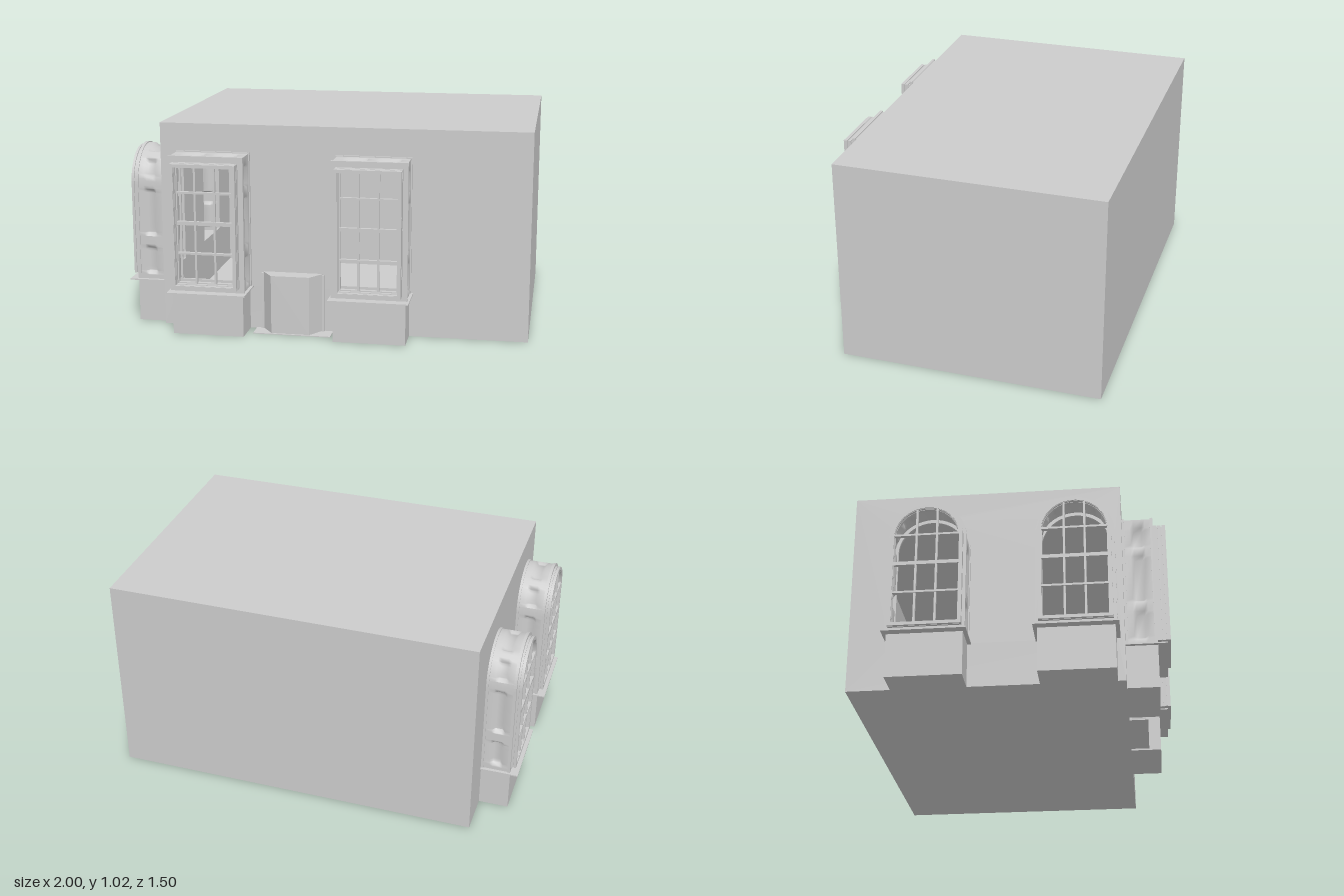
import * as THREE from 'three';

const mat = new THREE.MeshStandardMaterial({ color: 0xcccccc, side: THREE.DoubleSide });
const SILL = 0.22, SPRING = 0.705, HALF = 0.18;
const X0 = -0.815, X1 = 1, Z0 = -0.75, Z1 = 0.54, H = 1.025;

function add(parent, name, geo, x = 0, y = 0, z = 0) {
  const mesh = new THREE.Mesh(geo, mat);
  mesh.name = name;
  mesh.position.set(x, y, z);
  parent.add(mesh);
  return mesh;
}
function box(parent, name, x0, x1, y0, y1, z0, z1) {
  return add(parent, name, new THREE.BoxGeometry(x1 - x0, y1 - y0, z1 - z0),
    (x0 + x1) / 2, (y0 + y1) / 2, (z0 + z1) / 2);
}

// Window outline: rectangular, or with a semicircular head
function outline(path, half, bottom, top, arch, cx = 0) {
  path.moveTo(cx - half, bottom);
  path.lineTo(cx + half, bottom);
  if (arch) {
    path.lineTo(cx + half, SPRING);
    path.absarc(cx, SPRING, half, 0, Math.PI, false);
  } else {
    path.lineTo(cx + half, top);
    path.lineTo(cx - half, top);
  }
  path.closePath();
  return path;
}

// Frame ring of width w, from z0 to z1
function ring(parent, name, half, w, bottom, top, arch, z0, z1) {
  const s = outline(new THREE.Shape(), half, bottom, top, arch);
  s.holes.push(outline(new THREE.Path(), half - w, bottom + w, top - w, arch));
  add(parent, name, new THREE.ExtrudeGeometry(s,
    { depth: z1 - z0, bevelEnabled: false, curveSegments: 20 }), 0, 0, z0);
}

// Strip with sunken, sloped panels, bent along a path; at(s) gives [x, y, outward x, outward y]
function panelledStrip(parent, name, length, depth, pits, at, step = 1) {
  const slope = 0.016, sink = 0.02;
  const z0 = 0.04, z1 = depth - 0.04;
  const zs = [0, z0, z0 + slope, z1 - slope, z1, depth];
  const marks = [0, length];
  for (const [a, b] of pits) marks.push(a, a + slope, b - slope, b);
  for (let s = step; s < length; s += step) marks.push(s);
  const ss = [...new Set(marks)].sort((a, b) => a - b);
  const ramp = (v, a, b) => THREE.MathUtils.clamp(Math.min(v - a, b - v) / slope, 0, 1);
  const pos = [], index = [];
  ss.forEach((s, i) => {
    const [x, y, nx, ny] = at(s);
    zs.forEach((z, j) => {
      let d = 0;
      for (const [a, b] of pits) d = Math.max(d, Math.min(ramp(s, a, b), ramp(z, z0, z1)));
      pos.push(x - nx * d * sink, y - ny * d * sink, z);
      if (i && j) {
        const c = i * zs.length + j, p = c - zs.length;
        index.push(p - 1, p, c, p - 1, c, c - 1);
      }
    });
  });
  const geo = new THREE.BufferGeometry();
  geo.setAttribute('position', new THREE.Float32BufferAttribute(pos, 3));
  geo.setIndex(index);
  geo.computeVertexNormals();
  add(parent, name, geo);
}

// Projecting window bay, facing +z from the wall plane z = 0
function windowBay(arch) {
  const g = new THREE.Group();
  g.name = arch ? 'archedWindow' : 'squareWindow';
  const depth = arch ? 0.145 : 0.15, top = 0.885;
  box(g, 'pedestal', -0.177, 0.177, 0, 0.213, 0, depth);
  box(g, 'sill', -0.195, 0.195, 0.213, 0.219, 0, arch ? 0.185 : 0.195);

  // Panelled reveals
  const pits = [[0.025, 0.17], [0.22, 0.465]];
  if (arch) {
    const up = SPRING - SILL, arc = Math.PI * HALF, total = 2 * up + arc;
    const all = [...pits, ...pits.map(([a, b]) => [total - b, total - a]),
      [up + 0.03, up + 0.14], [up + arc / 2 - 0.1, up + arc / 2 + 0.1], [up + arc - 0.14, up + arc - 0.03]];
    panelledStrip(g, 'reveal', total, depth, all, s => {
      if (s < up) return [HALF, SILL + s, 1, 0];
      if (s > up + arc) return [-HALF, SILL + total - s, -1, 0];
      const a = (s - up) / HALF, c = Math.cos(a), n = Math.sin(a);
      return [HALF * c, SPRING + HALF * n, c, n];
    }, 0.02);
  } else {
    const sidePits = [...pits, [0.51, 0.62]];
    for (const k of [1, -1])
      panelledStrip(g, 'sideReveal', top - SILL, depth, sidePits, s => [k * HALF, SILL + s, k, 0]);
    panelledStrip(g, 'topReveal', 2 * HALF, depth, [[0.04, 0.16], [0.2, 0.32]],
      s => [HALF - s, top, 0, 1]);
  }

  // Casing and stepped sash frames
  ring(g, 'innerCasing', 0.185, 0.022, SILL, 0.89, arch, 0, 0.012);
  ring(g, 'outerCasing', 0.185, 0.03, SILL, 0.89, arch, depth - 0.014, depth);
  const layers = arch ? [[0.143, 0.155], [0.158, 0.17]] : [[0.148, 0.168], [0.172, 0.188], [0.192, 0.21]];
  layers.forEach(([a, b], i) =>
    ring(g, 'sashFrame', arch ? 0.17 : 0.16, 0.016 + 0.004 * (layers.length - 1 - i), 0.245, 0.86, arch, a, b));
  ring(g, 'sashCore', arch ? 0.164 : 0.154, 0.012, 0.25, 0.855, arch, depth - 0.005, layers.at(-1)[1] - 0.004);

  // Glazing bars, three columns by four rows
  const zb = depth + 0.008, inner = arch ? 0.154 : 0.144;
  for (const x of [-0.048, 0.048]) {
    const y1 = arch ? SPRING + Math.sqrt(inner ** 2 - x ** 2) : 0.845;
    box(g, 'glazingBar', x - 0.005, x + 0.005, 0.26, y1, zb, zb + 0.014);
  }
  for (const [y, t] of [[0.415, 0.005], [0.565, 0.009], [0.715, 0.005]])
    box(g, t > 0.005 ? 'meetingRail' : 'glazingBar', -inner, inner, y - t, y + t, zb - 0.002, zb + 0.016);
  return g;
}

// Wall sheet with window openings
function wall(parent, name, a, b, centres, arch) {
  const s = new THREE.Shape([[a, 0], [b, 0], [b, H], [a, H]].map(p => new THREE.Vector2(...p)));
  for (const c of centres) s.holes.push(outline(new THREE.Path(), HALF, SILL, 0.885, arch, c));
  return add(parent, name, new THREE.ShapeGeometry(s, 20));
}

export function createModel() {
  const model = new THREE.Group();
  model.name = 'room';
  const frontX = [-0.55, 0.245], leftZ = [-0.365, 0.325];

  // Room shell
  wall(model, 'frontWall', X0, X1, frontX, false).position.z = Z1;
  const side = wall(model, 'windowSideWall', Z0, Z1, leftZ, true);
  side.rotation.y = -Math.PI / 2;
  side.position.x = X0;
  wall(model, 'backWall', X0, X1, [], false).position.z = Z0;
  const plain = wall(model, 'plainSideWall', Z0, Z1, [], false);
  plain.rotation.y = -Math.PI / 2;
  plain.position.x = X1;
  for (const [name, y] of [['floor', 0], ['ceiling', H]]) {
    const sheet = add(model, name, new THREE.PlaneGeometry(X1 - X0, Z1 - Z0),
      (X0 + X1) / 2, y, (Z0 + Z1) / 2);
    sheet.rotation.x = -Math.PI / 2;
  }

  // Window bays
  for (const x of frontX) {
    const bay = windowBay(false);
    bay.position.set(x, 0, Z1);
    model.add(bay);
  }
  for (const z of leftZ) {
    const bay = windowBay(true);
    bay.position.set(X0, 0, z);
    bay.rotation.y = -Math.PI / 2;
    model.add(bay);
  }

  // Splayed fireplace back with its hearth and edge strips
  const plan = new THREE.Shape([[-0.305, -Z1], [-0.25, -0.62], [-0.06, -0.62], [-0.005, -Z1]]
    .map(p => new THREE.Vector2(...p)));
  add(model, 'firebox', new THREE.ExtrudeGeometry(plan, { depth: 0.295, bevelEnabled: false }))
    .rotation.x = -Math.PI / 2;
  box(model, 'hearth', -0.34, 0.045, 0, 0.004, Z1, 0.63);
  for (const x of [-0.312, -0.008]) box(model, 'fireboxEdge', x, x + 0.012, 0, 0.29, Z1, Z1 + 0.012);
  return model;
}
